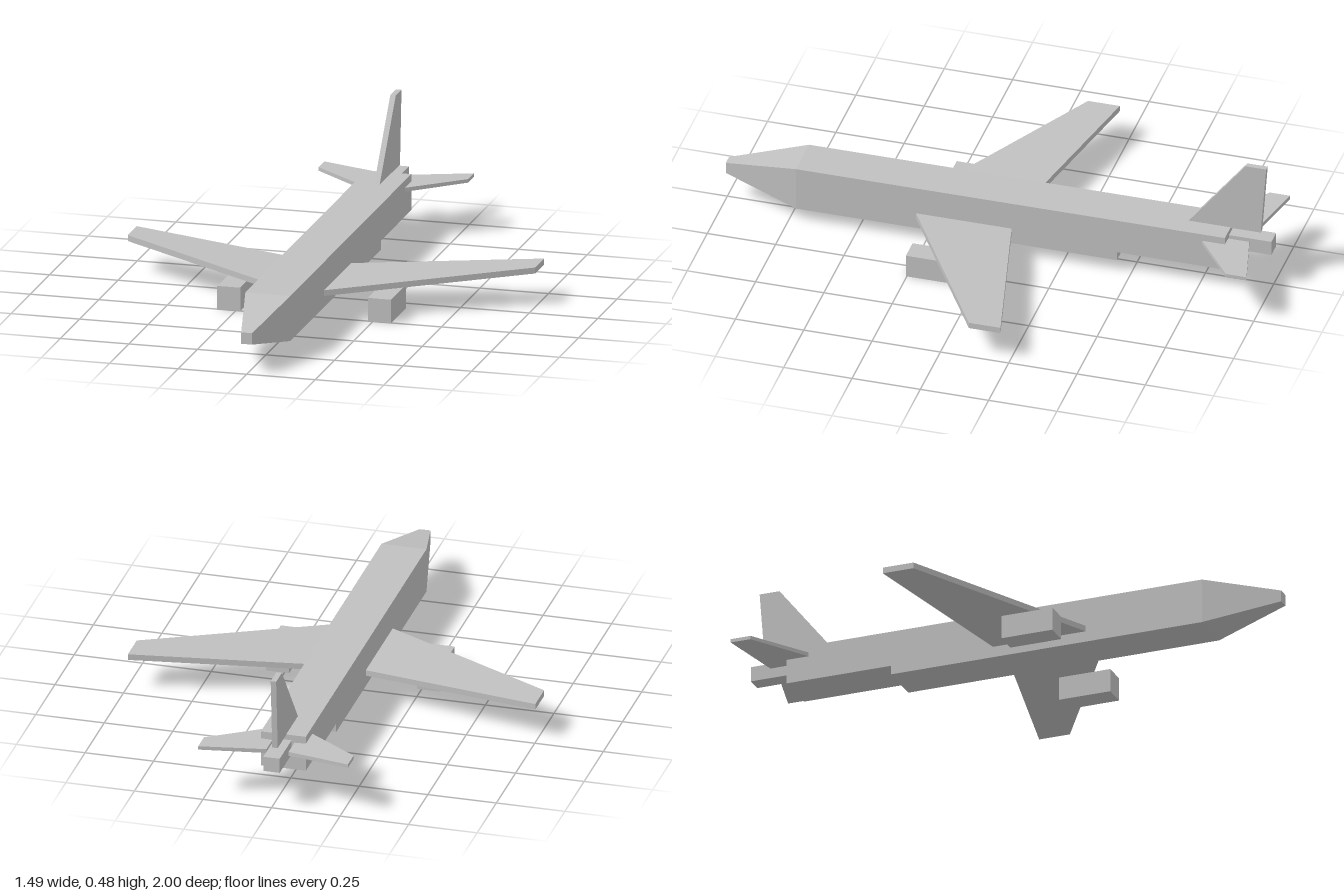
import * as THREE from 'three';

const grey = new THREE.MeshStandardMaterial({ color: 0xc0c0c0 });
grey.name = 'light grey';

// Solid joining two four-cornered sections, with every face turned outwards
function loft(name, a, b) {
  const p = [...a, ...b].map((c) => new THREE.Vector3(...c));
  const centre = p.reduce((s, v) => s.add(v), new THREE.Vector3()).divideScalar(8);
  const quads = [[0, 1, 2, 3], [4, 5, 6, 7]];
  for (let i = 0; i < 4; i++) {
    const j = (i + 1) % 4;
    quads.push([i, j, j + 4, i + 4]);
  }
  const points = [];
  for (const q of quads) {
    let [k, l, m, n] = q.map((i) => p[i]);
    const normal = l.clone().sub(k).cross(m.clone().sub(k));
    if (normal.dot(k.clone().sub(centre)) < 0) [l, n] = [n, l];
    points.push(k, l, m, k, m, n);
  }
  const geometry = new THREE.BufferGeometry().setFromPoints(points);
  geometry.computeVertexNormals();
  const mesh = new THREE.Mesh(geometry, grey);
  mesh.name = name;
  return mesh;
}

// Cross-section of the body at z
const frame = (w, y0, y1, z) => [[-w, y0, z], [w, y0, z], [w, y1, z], [-w, y1, z]];

// Cross-section of a wing at x, from trailing edge to leading edge
const rib = (x, y0, y1, back, front) => [[x, y0, back], [x, y0, front], [x, y1, front], [x, y1, back]];

// Horizontal cross-section of the fin
const slice = (y, back, front) => [[-0.01, y, back], [0.01, y, back], [0.01, y, front], [-0.01, y, front]];

export function createModel() {
  const plane = new THREE.Group();
  plane.name = 'airliner';

  // Body
  plane.add(
    loft('nose', frame(0.02, 0.11, 0.152, 1), frame(0.082, 0.05, 0.215, 0.725)),
    loft('fuselage', frame(0.082, 0.05, 0.215, 0.725), frame(0.082, 0.05, 0.215, -0.45)),
    loft('rearFuselage', frame(0.082, 0.083, 0.215, -0.45), frame(0.082, 0.083, 0.215, -0.845)),
    loft('tailCone', frame(0.03, 0.14, 0.195, -0.84), frame(0.03, 0.14, 0.195, -1)),
    loft('fin', slice(0.213, -0.955, -0.69), slice(0.481, -0.975, -0.9)),
  );

  // Wings, tailplanes and engines on both sides
  for (const [side, s] of [['left', 1], ['right', -1]]) {
    plane.add(
      loft(`${side}Wing`, rib(s * 0.08, 0.09, 0.111, -0.064, 0.287), rib(s * 0.743, 0.115, 0.137, -0.218, -0.102)),
      loft(`${side}Tailplane`, rib(s * 0.04, 0.172, 0.187, -0.922, -0.73), rib(s * 0.273, 0.182, 0.195, -0.98, -0.905)),
    );
    const engine = new THREE.Mesh(new THREE.BoxGeometry(0.084, 0.086, 0.193), grey);
    engine.position.set(s * 0.275, 0.043, 0.157);
    engine.name = `${side}Engine`;
    plane.add(engine);
  }
  return plane;
}
